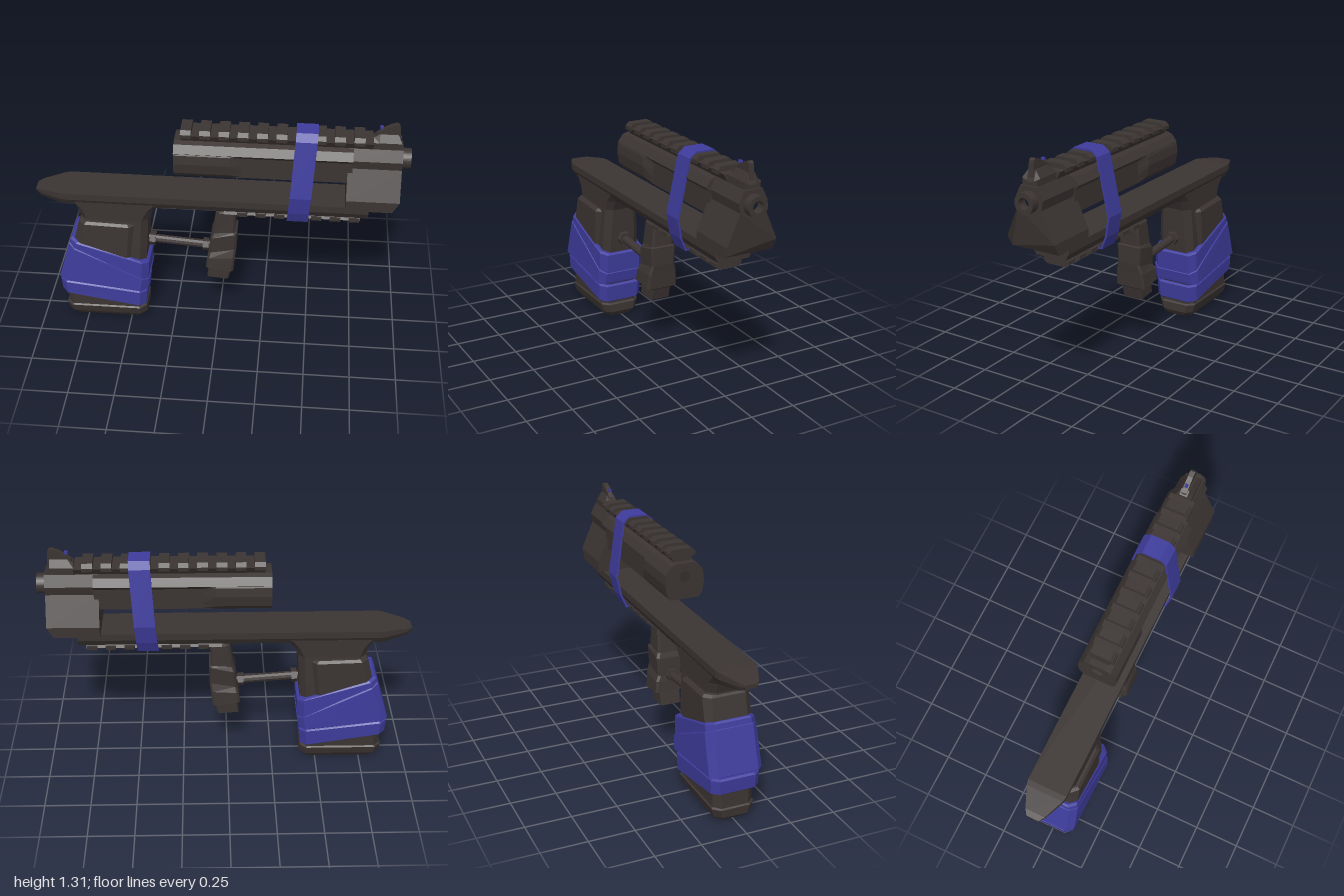
import * as THREE from 'three';

const dark = new THREE.MeshStandardMaterial({ color: 0x3b3432 });
dark.name = 'charcoal';
const blue = new THREE.MeshStandardMaterial({ color: 0x3e3c9c });
blue.name = 'blue wrap';

export function createModel() {
  const model = new THREE.Group();

  const add = (name, geo, mat = dark) => {
    const mesh = new THREE.Mesh(geo, mat);
    mesh.name = name;
    model.add(mesh);
    return mesh;
  };

  // Flat-shaded skin through a list of equal-length rings, capped at both ends
  function loft(rings) {
    const tris = [], n = rings[0].length;
    for (let r = 0; r < rings.length - 1; r++)
      for (let i = 0; i < n; i++) {
        const j = (i + 1) % n, a = rings[r], b = rings[r + 1];
        tris.push([a[i], a[j], b[j]], [a[i], b[j], b[i]]);
      }
    const cap = (ring, flip) => {
      const c = [0, 1, 2].map(k => ring.reduce((s, p) => s + p[k], 0) / n);
      ring.forEach((p, i) => {
        const q = ring[(i + 1) % n];
        tris.push(flip ? [c, q, p] : [c, p, q]);
      });
    };
    cap(rings[0], true);
    cap(rings[rings.length - 1], false);
    // Turn the faces outward whatever the ring direction
    const V = p => new THREE.Vector3(...p);
    const volume = tris.reduce((s, [a, b, c]) => s + V(a).dot(V(b).cross(V(c))), 0);
    if (volume < 0) tris.forEach(t => t.reverse());
    const geo = new THREE.BufferGeometry();
    geo.setAttribute('position', new THREE.Float32BufferAttribute(tris.flat(2), 3));
    geo.computeVertexNormals();
    return geo;
  }

  // Chamfered ring around a vertical part; y may differ at the back and front
  const ring = ([xb, xf, yb, yf, hw, c = 0.035]) => [
    [xb, -hw + c], [xb + c, -hw], [xf - c, -hw], [xf, -hw + c],
    [xf, hw - c], [xf - c, hw], [xb + c, hw], [xb, hw - c],
  ].map(([x, z]) => [x, yb + (yf - yb) * (x - xb) / (xf - xb), z]);
  const column = rows => loft(rows.map(ring));

  // Mirror a half outline of [z, y] points
  const mirrored = half => [...half, ...half.map(([z, y]) => [-z, y]).reverse()];
  const toShape = pts => new THREE.Shape(pts.map(p => new THREE.Vector2(...p)));

  // Extrude a [z, y] shape along x
  function alongX(shape, x0, x1, hole) {
    if (hole) shape.holes.push(hole);
    const geo = new THREE.ExtrudeGeometry(shape, { depth: x1 - x0, bevelEnabled: false, curveSegments: 20 });
    return geo.rotateY(Math.PI / 2).translate(x0, 0, 0);
  }
  const bore = () => new THREE.Path().absarc(0, 1.105, 0.03, 0, Math.PI * 2, true);

  // Upper receiver with a bore right through it
  add('receiver', alongX(toShape(mirrored(
    [[0.045, 1.18], [0.075, 1.17], [0.105, 1.13], [0.08, 1.105], [0.08, 0.985]])), -0.235, 0.7, bore()));

  // Full-width rear cheeks, sloping into the scooped front half
  for (const s of [1, -1]) {
    const cheek = [[0.06, 1.17], [0.075, 1.17], [0.105, 1.12], [0.11, 1.07], [0.1, 1.01], [0.08, 0.985], [0.06, 0.985]];
    const at = (x, limit) => cheek.map(([z, y]) => [x, y, s * Math.min(z, limit)]);
    add('receiverCheek', loft([at(-0.235, 1), at(0.06, 1), at(0.14, 0.075)]));
  }

  // Muzzle block, its lower front edge cut back
  const block = alongX(toShape(mirrored(
    [[0.05, 1.18], [0.08, 1.12], [0.07, 1.07], [0.14, 0.91], [0.14, 0.848]])), 0.675, 0.955, bore());
  const p = block.attributes.position;
  for (let i = 0; i < p.count; i++)
    if (p.getX(i) > 0.9 && p.getY(i) < 0.87) p.setX(i, 0.92);
  block.computeVertexNormals();
  add('muzzleBlock', block);

  const nozzle = new THREE.Shape().absarc(0, 1.105, 0.054, 0, Math.PI * 2, false);
  add('muzzleRing', alongX(nozzle, 0.95, 1.0, bore()));

  // Slotted rails: a base strip plus evenly spaced teeth
  function rail(name, x0, x1, y, dir, foot, lip, tip, count) {
    add(name + 'Base', alongX(toShape(mirrored(dir > 0
      ? [[0.07, y + lip], [0.045, y]] : [[0.045, y], [0.07, y - lip]])), x0, x1));
    for (let i = 0; i < count; i++) {
      const a = foot + i * 0.1;
      const pts = [[0.075, y + dir * (lip - 0.012)], [0.075, y + dir * (lip + 0.008)], [0.055, y + dir * tip]];
      add(name + 'Tooth', alongX(toShape(mirrored(pts)), a, a + 0.056));
    }
  }
  rail('topRail', -0.2, 0.8, 1.178, 1, -0.2, 0.042, 0.069, 10);
  rail('lowerRail', 0.03, 0.76, 0.775, -1, 0.1, 0.038, 0.06, 7);

  // Front sight: flared foot, thin blade and a small bead
  const foot = (x, top) => [[x, top, 0.022], [x, 1.215, 0.045], [x, 1.17, 0.045],
    [x, 1.17, -0.045], [x, 1.215, -0.045], [x, top, -0.022]];
  add('sightFoot', loft([foot(0.8, 1.235), foot(0.83, 1.255), foot(0.925, 1.255), foot(0.945, 1.2)]));
  const blade = new THREE.ExtrudeGeometry(toShape(
    [[0.8, 1.2], [0.94, 1.2], [0.93, 1.3], [0.915, 1.31], [0.885, 1.3], [0.85, 1.28], [0.81, 1.25]]),
    { depth: 0.028, bevelEnabled: false });
  add('sightBlade', blade.translate(0, 0, -0.014));
  add('sightBead', new THREE.BoxGeometry(0.018, 0.014, 0.016).translate(0.837, 1.285, 0), blue);

  // Long lower frame with a tapered tail
  const frame = ([x, top, bottom, hw]) => {
    const mid = (top + bottom) / 2;
    return [[x, top, hw], [x, mid, hw], [x, bottom, hw * 0.8],
      [x, bottom, -hw * 0.8], [x, mid, -hw], [x, top, -hw]];
  };
  add('lowerFrame', loft([
    [-1, 0.825, 0.803, 0.035], [-0.97, 0.832, 0.787, 0.055], [-0.86, 0.845, 0.772, 0.103],
    [-0.83, 0.847, 0.77, 0.11], [0.8, 0.847, 0.77, 0.11],
  ].map(frame)));

  // Grip core and raised side panel
  add('grip', column([
    [-0.82, -0.31, 0.79, 0.79, 0.1], [-0.775, -0.355, 0.74, 0.74, 0.1], [-0.755, -0.385, 0.68, 0.68, 0.1],
    [-0.80, -0.395, 0.5, 0.5, 0.11], [-0.85, -0.41, 0.3, 0.3, 0.115], [-0.86, -0.43, 0.12, 0.12, 0.11],
  ]));
  add('gripPanel', column([
    [-0.755, -0.46, 0.675, 0.665, 0.115], [-0.765, -0.45, 0.662, 0.652, 0.128], [-0.82, -0.47, 0.45, 0.44, 0.13],
  ]));

  // Magazine foot with a hollow underside
  add('magazineFoot', column([
    [-0.86, -0.425, 0.2, 0.15, 0.11], [-0.865, -0.42, 0.085, 0.085, 0.11], [-0.873, -0.412, 0.078, 0.078, 0.118],
    [-0.868, -0.41, 0.03, 0.03, 0.105], [-0.835, -0.43, 0, 0, 0.085], [-0.79, -0.48, 0, 0, 0.06, 0.02],
    [-0.78, -0.49, 0.05, 0.05, 0.052, 0.02],
  ]));

  // Wrapped bands around the grip
  const wrap = (name, top, bottom) => {
    const inset = ([xb, xf, yb, yf, hw], dy) => [xb + 0.01, xf - 0.01, yb + dy, yf + dy, hw - 0.01];
    add(name, column([inset(top, 0.008), top, bottom, inset(bottom, -0.008)]), blue);
  };
  wrap('upperWrap', [-0.818, -0.385, 0.545, 0.405, 0.137], [-0.875, -0.395, 0.33, 0.25, 0.138]);
  wrap('middleWrap', [-0.828, -0.388, 0.515, 0.29, 0.143], [-0.895, -0.4, 0.285, 0.225, 0.147]);
  wrap('lowerWrap', [-0.893, -0.403, 0.26, 0.2, 0.134], [-0.888, -0.412, 0.185, 0.105, 0.132]);

  // Forward handle under the rail
  add('forwardHandle', column([
    [0.01, 0.08, 0.78, 0.78, 0.04, 0.01], [0.01, 0.08, 0.74, 0.74, 0.04, 0.01],
    [-0.015, 0.093, 0.735, 0.725, 0.058, 0.012], [-0.035, 0.09, 0.6, 0.61, 0.064, 0.012],
    [-0.045, 0.1, 0.57, 0.605, 0.075, 0.012], [-0.055, 0.098, 0.47, 0.5, 0.07, 0.012],
    [-0.062, 0.092, 0.44, 0.45, 0.085, 0.012], [-0.07, 0.083, 0.38, 0.36, 0.092, 0.012],
    [-0.05, 0.07, 0.37, 0.35, 0.06, 0.008], [-0.065, 0.055, 0.295, 0.285, 0.06, 0.008],
  ]));

  // Connecting rod with hexagonal collars
  const from = new THREE.Vector3(-0.41, 0.505, 0), to = new THREE.Vector3(-0.03, 0.475, 0);
  const tilt = Math.atan2(to.y - from.y, to.x - from.x) - Math.PI / 2;
  const rodPart = (name, t, r, len, sides) => {
    const mesh = add(name, new THREE.CylinderGeometry(r, r, len, sides).toNonIndexed());
    mesh.geometry.computeVertexNormals();
    mesh.position.lerpVectors(from, to, t);
    mesh.rotation.z = tilt;
  };
  rodPart('connectingRod', 0.5, 0.024, from.distanceTo(to), 10);
  rodPart('rearCollar', 0.1, 0.04, 0.032, 6);
  rodPart('frontCollar', 0.88, 0.036, 0.032, 6);

  // Slanted strap holding the receiver to the frame
  const outer = mirrored([[0.05, 1.258], [0.09, 1.225], [0.144, 0.91], [0.122, 0.8], [0.09, 0.728]]);
  const inner = mirrored([[0.047, 1.248], [0.08, 1.22], [0.133, 0.91], [0.112, 0.805], [0.083, 0.739]]);
  const strap = alongX(toShape(outer), 0.385, 0.498, new THREE.Path(inner.map(q => new THREE.Vector2(...q))));
  const sp = strap.attributes.position;
  for (let i = 0; i < sp.count; i++) sp.setX(i, sp.getX(i) + (sp.getY(i) - 0.98) * 0.06);
  strap.computeVertexNormals();
  add('strap', strap, blue);

  return model;
}
